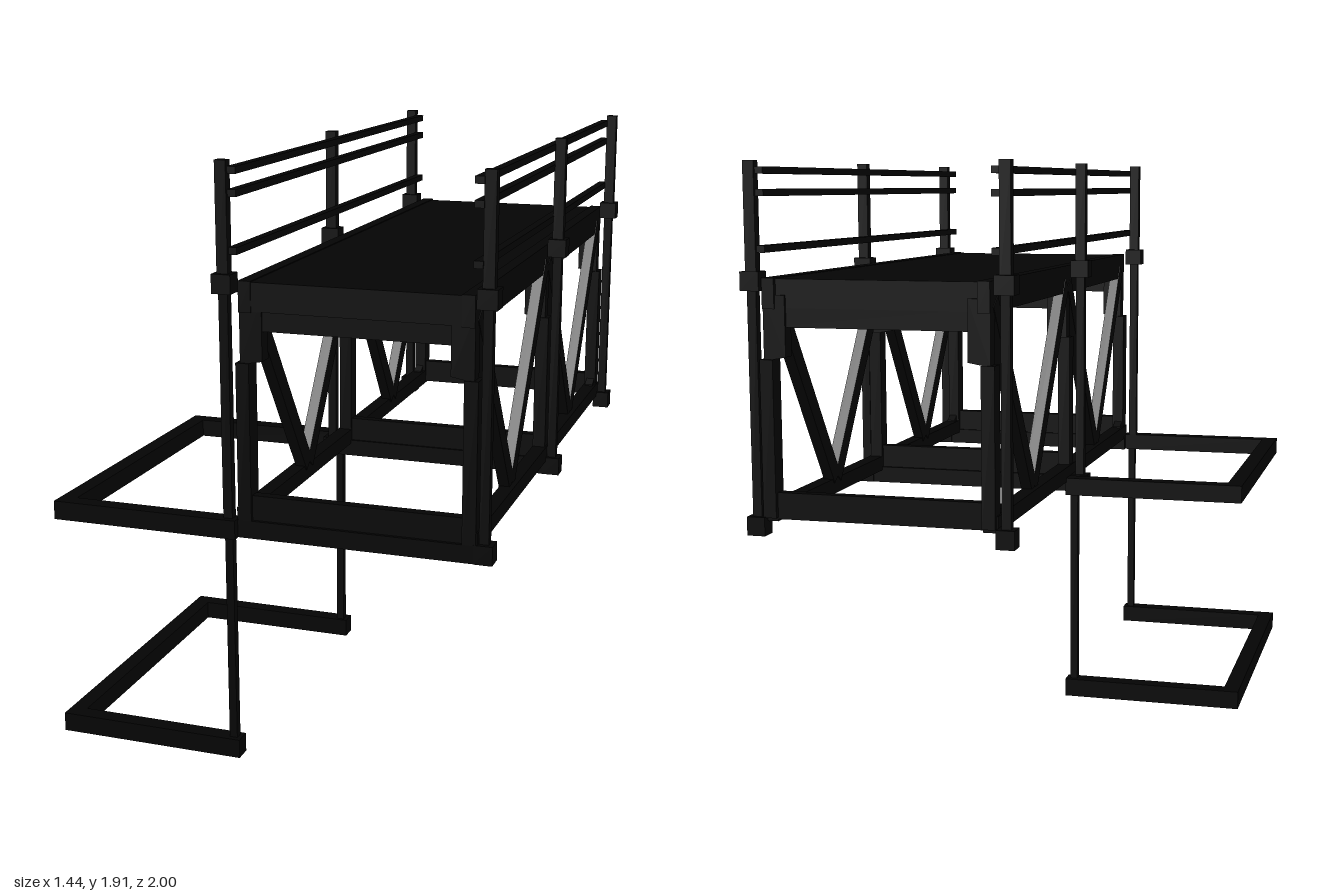
import * as THREE from 'three';

export function createModel() {
  const model = new THREE.Group();
  const material = new THREE.MeshStandardMaterial({ color: 0x040404 });
  const CX = 0.29; // centre line of the bridge

  // Box given by its min and max on each axis
  function box(name, x0, x1, y0, y1, z0, z1) {
    const mesh = new THREE.Mesh(new THREE.BoxGeometry(x1 - x0, y1 - y0, z1 - z0), material);
    mesh.position.set((x0 + x1) / 2, (y0 + y1) / 2, (z0 + z1) / 2);
    mesh.name = name;
    model.add(mesh);
  }

  // Square bar lying in a plane of constant x
  function bar(name, x, z0, y0, z1, y1, width, depth) {
    const length = Math.hypot(z1 - z0, y1 - y0);
    const mesh = new THREE.Mesh(new THREE.BoxGeometry(width, depth, length), material);
    mesh.position.set(x, (y0 + y1) / 2, (z0 + z1) / 2);
    mesh.rotation.x = -Math.atan2(y1 - y0, z1 - z0);
    mesh.name = name;
    model.add(mesh);
  }

  // Outline of [u, v] points extruded along z
  function prism(name, points, depth) {
    const shape = new THREE.Shape(points.map(([u, v]) => new THREE.Vector2(u, v)));
    const geometry = new THREE.ExtrudeGeometry(shape, { depth, bevelEnabled: false });
    geometry.translate(0, 0, -depth / 2);
    const mesh = new THREE.Mesh(geometry, material);
    mesh.name = name;
    model.add(mesh);
    return mesh;
  }

  // Deck slab
  box('deck', -0.074, 0.654, 1.46, 1.55, -0.97, 0.972);

  const uprights = [[0.912, 0.975], [-0.03, 0.025], [-0.985, -0.925]];

  // Cross members joining the two trusses
  for (const [z0, z1] of uprights) {
    const mid = (z0 + z1) / 2;
    box('deckCrossbeam', -0.05, 0.63, 1.4, 1.47, mid - 0.014, mid + 0.02);
    box('lowerCrossbeam', -0.055, 0.635, 0.795, 0.88, mid - 0.014, mid + 0.02);
  }

  for (const side of [-1, 1]) {
    const at = (offset) => CX + side * offset;
    const span = (a, b) => [Math.min(at(a), at(b)), Math.max(at(a), at(b))];

    // Truss chords
    box('topChord', ...span(0.326, 0.366), 1.457, 1.553, -0.985, 0.975);
    box('bottomChord', ...span(0.336, 0.384), 0.788, 0.84, -0.97, 0.972);

    // Uprights ending in a knee plate under the deck
    for (const [z0, z1] of uprights) {
      box('trussUpright', ...span(0.336, 0.379), 0.8, 1.3, z0, z1);
      const knee = prism('kneePlate', [
        [at(0.294), 1.308], [at(0.366), 1.295], [at(0.366), 1.5], [at(0.294), 1.5],
      ], z1 - z0 - 0.012);
      knee.position.z = (z0 + z1) / 2;
    }

    // Diagonals forming two V shapes
    for (const zMid of [0.465, -0.475]) {
      for (const dir of [-1, 1]) {
        bar('diagonal', at(0.35), zMid + dir * 0.006, 0.842, zMid + dir * 0.452, 1.49, 0.036, 0.058);
      }
    }

    // Small corner gussets on the ends of the bottom chord
    for (const [z, dir] of [[0.912, -1], [-0.925, 1]]) {
      const gusset = prism('cornerGusset', [[0, 0.83], [dir * 0.035, 0.83], [dir * 0.035, 0.845], [0, 0.862]], 0.03);
      gusset.rotation.y = -Math.PI / 2;
      gusset.position.set(at(0.36), 0, z);
    }

    // Railing posts with joint blocks and feet
    const postX = 0.284 + side * 0.407;
    for (const z of [side < 0 ? 0.965 : 0.948, 0, -0.968]) {
      box('railingPost', postX - 0.018, postX + 0.018, 1.53, 1.91, z - 0.016, z + 0.016);
      box('lowerPost', postX - 0.015, postX + 0.015, 0.77, 1.53, z - 0.014, z + 0.014);
      box('postJoint', postX - 0.031, postX + 0.031, 1.512, 1.572, z - 0.03, z + 0.03);
      if (side > 0 || z < 0.9) {
        box('postFoot', postX - 0.03, postX + 0.03, 0.743, 0.803, z - 0.029, z + 0.029);
      }
    }

    // Guard rails on the inner side of the posts
    const railX = postX - side * 0.03;
    for (const y of [1.88, 1.812, 1.64]) {
      box('guardRail', railX - 0.014, railX + 0.014, y - 0.011, y + 0.011, -0.975, 0.97);
    }
  }

  // Base beams below the front and middle of the trusses
  for (const z of [0.948, 0]) {
    box('baseBeam', -0.095, 0.665, 0.743, 0.8, z - 0.027, z + 0.027);
  }

  // Two U-shaped frames at the side, one above the other
  for (const [name, y0, y1] of [['upperSideFrame', 0.742, 0.803], ['lowerSideFrame', 0, 0.062]]) {
    box(name + 'OuterBeam', -0.72, -0.665, y0, y1, -0.098, 1);
    for (const z of [-0.098, 0.945]) box(name + 'Arm', -0.67, -0.092, y0, y1, z, z + 0.055);
  }

  // Thin posts between the frames
  for (const z of [-0.067, 0.97]) {
    box('frameHanger', -0.132, -0.106, 0.05, 0.76, z - 0.013, z + 0.013);
  }

  return model;
}
